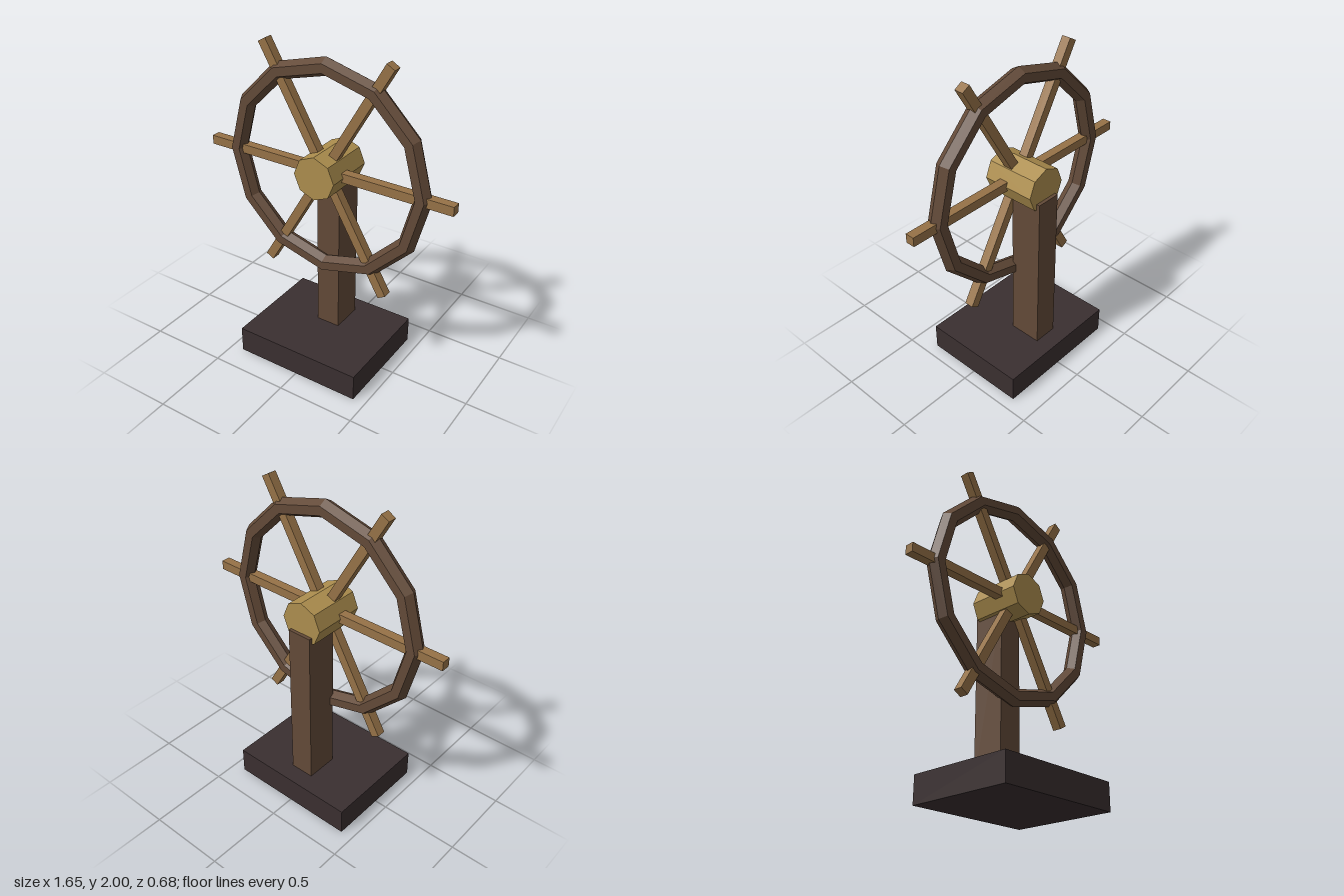
import * as THREE from 'three';

const mat = (name, color) => {
  const m = new THREE.MeshStandardMaterial({ color, flatShading: true });
  m.name = name;
  return m;
};

export function createModel() {
  const charcoal = mat('charcoal', 0x3a2f30);
  const darkWood = mat('dark wood', 0x634a38);
  const lightWood = mat('light wood', 0x967247);
  const brass = mat('brass', 0xad8e4e);

  const model = new THREE.Group();
  model.name = 'steeringWheelStand';
  const add = (parent, name, geometry, material, x = 0, y = 0, z = 0) => {
    const mesh = new THREE.Mesh(geometry, material);
    mesh.name = name;
    mesh.position.set(x, y, z);
    parent.add(mesh);
    return mesh;
  };

  // Base slab and upright post
  add(model, 'base', new THREE.BoxGeometry(0.84, 0.17, 0.68), charcoal, 0, 0.085, 0);
  add(model, 'post', new THREE.BoxGeometry(0.155, 1.04, 0.206), darkWood, 0, 0.69, -0.126);

  // Wheel, centred on its axle
  const wheel = new THREE.Group();
  wheel.name = 'wheel';
  wheel.position.y = 1.272;
  model.add(wheel);

  // Twelve-sided rim with a hexagonal section
  add(wheel, 'rim', new THREE.TorusGeometry(0.63, 0.055, 6, 12), darkWood);

  // Octagonal hub reaching back over the post
  const hub = new THREE.CylinderGeometry(0.135, 0.135, 0.336, 8).rotateX(Math.PI / 2);
  add(wheel, 'hub', hub, brass, 0, 0, -0.04);

  // Six spokes whose ends form the handles
  const spoke = new THREE.BoxGeometry(0.764, 0.057, 0.057).translate(0.442, 0, 0);
  for (let i = 0; i < 6; i++) {
    add(wheel, `spoke${i + 1}`, spoke, lightWood).rotation.z = (i * Math.PI) / 3;
  }
  return model;
}
